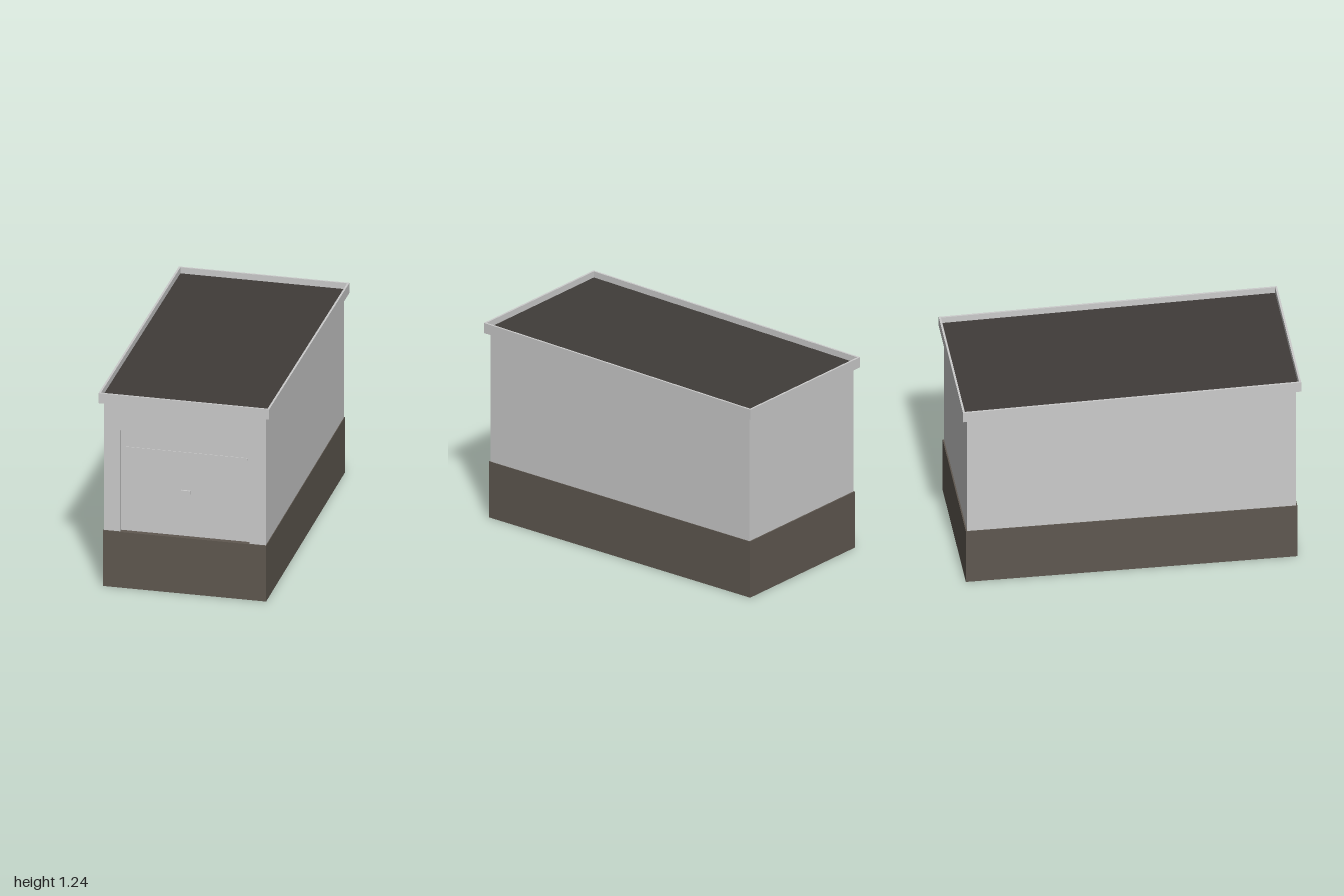
import * as THREE from 'three';

const grey = new THREE.MeshStandardMaterial({ color: 0xcccccc });
const plinthBrown = new THREE.MeshStandardMaterial({ color: 0x5f5850 });
const roofDark = new THREE.MeshStandardMaterial({ color: 0x403c39 });

const BASE_TOP = 0.355, WALL_TOP = 1.163, WALL_X = 0.487, WALL_Z = 0.972;
const DOOR_X = 0.39, DOOR_TOP = 1.0, RECESS = 0.025;
const SLOPE = 0.0155; // roof falls towards the back

function add(group, name, geometry, material) {
  const mesh = new THREE.Mesh(geometry, material);
  mesh.name = name;
  group.add(mesh);
  return mesh;
}

// Box given by its limits on each axis
function boxBetween(x0, x1, y0, y1, z0, z1) {
  return new THREE.BoxGeometry(x1 - x0, y1 - y0, z1 - z0)
    .translate((x0 + x1) / 2, (y0 + y1) / 2, (z0 + z1) / 2);
}

function rectangle(Type, x, y) {
  return new Type([[-x, -y], [x, -y], [x, y], [-x, y]].map(p => new THREE.Vector2(...p)));
}

// Tilt a geometry by shearing its height along z
function shear(geometry) {
  const p = geometry.attributes.position;
  for (let i = 0; i < p.count; i++) p.setY(i, p.getY(i) + SLOPE * p.getZ(i));
  geometry.computeVertexNormals();
  return geometry;
}

export function createModel() {
  const garage = new THREE.Group();
  garage.name = 'garage';

  // Plinth
  add(garage, 'plinth', boxBetween(-0.491, 0.491, 0, BASE_TOP, -0.98, 0.98), plinthBrown);

  // Main body, stopping behind the front wall
  const doorZ = WALL_Z - RECESS;
  add(garage, 'body', boxBetween(-WALL_X, WALL_X, BASE_TOP, WALL_TOP, -WALL_Z, doorZ - 0.01), grey);

  // Front wall with the door opening
  const wall = new THREE.Shape([
    [-WALL_X, BASE_TOP], [-DOOR_X, BASE_TOP], [-DOOR_X, DOOR_TOP], [DOOR_X, DOOR_TOP],
    [DOOR_X, BASE_TOP], [WALL_X, BASE_TOP], [WALL_X, WALL_TOP], [-WALL_X, WALL_TOP],
  ].map(p => new THREE.Vector2(...p)));
  add(garage, 'frontWall',
    new THREE.ExtrudeGeometry(wall, { depth: RECESS + 0.01, bevelEnabled: false })
      .translate(0, 0, doorZ - 0.01), grey);

  // Up-and-over door with its ridge and handle
  const door = new THREE.Group();
  door.name = 'door';
  garage.add(door);
  add(door, 'doorPanel', boxBetween(-DOOR_X, DOOR_X, BASE_TOP, DOOR_TOP, doorZ - 0.01, doorZ), grey);
  add(door, 'doorRidge', boxBetween(-0.373, 0.373, 0.875, 0.889, doorZ, doorZ + 0.004), grey);
  add(door, 'doorHandle', boxBetween(-0.028, 0.028, 0.627, 0.647, doorZ, doorZ + 0.012), grey);

  // Roof deck, set below the top of the rim
  const rimBottom = 1.156, rimHeight = 0.064, rimWidth = 0.012;
  add(garage, 'roofDeck', shear(boxBetween(
    -0.514 + rimWidth, 0.514 - rimWidth, rimBottom + 0.001, rimBottom + 0.026,
    -1 + rimWidth, 1 - rimWidth)), roofDark);

  // Roof rim
  const rim = rectangle(THREE.Shape, 0.514, 1);
  rim.holes.push(rectangle(THREE.Path, 0.514 - rimWidth, 1 - rimWidth));
  add(garage, 'roofRim', shear(
    new THREE.ExtrudeGeometry(rim, { depth: rimHeight, bevelEnabled: false })
      .rotateX(-Math.PI / 2).translate(0, rimBottom, 0)), grey);

  return garage;
}
